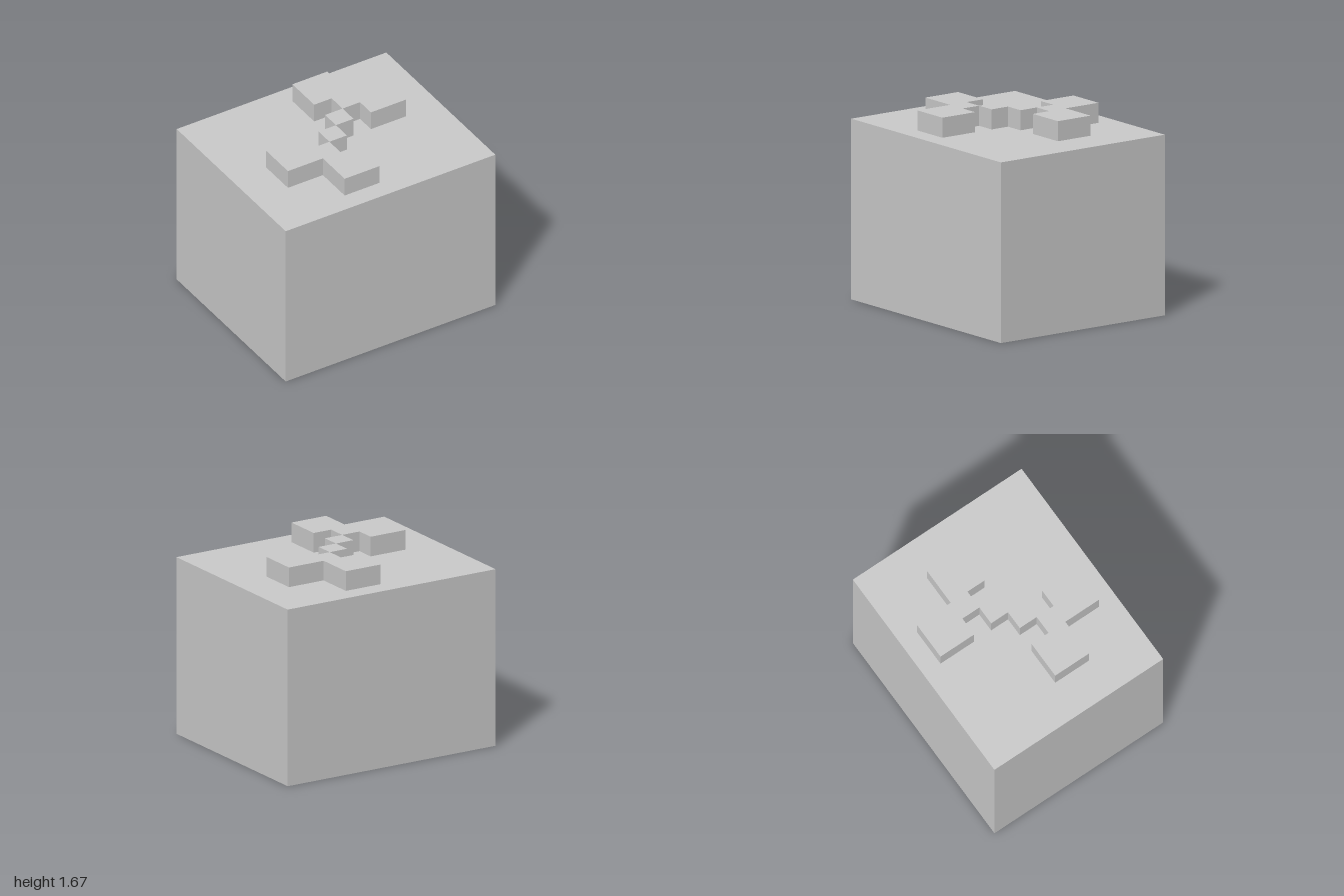
import * as THREE from 'three';

const U = 1 / 6; // modelling unit: every size is a whole number of these

export function createModel() {
  const model = new THREE.Group();
  model.name = 'blockWithRaisedPattern';
  const material = new THREE.MeshStandardMaterial({ color: 0xcccccc, flatShading: true });

  const add = (parent, name, geometry) => {
    const mesh = new THREE.Mesh(geometry, material);
    mesh.name = name;
    parent.add(mesh);
    return mesh;
  };

  // Main block
  const body = { width: 12 * U, height: 9 * U, depth: 10 * U };
  add(model, 'body', new THREE.BoxGeometry(body.width, body.height, body.depth))
    .position.y = body.height / 2;

  // Stepped plate outline, in units: x to the left side, y towards the back
  const outline = [[0, 4], [0, 2], [1, 2], [1, 1], [2, 1], [2, 0], [4, 0], [4, 2], [2, 2], [2, 4]];
  const shape = new THREE.Shape(outline.map(([x, y]) => new THREE.Vector2(x * U, y * U)));
  const plate = new THREE.ExtrudeGeometry(shape, { depth: U, bevelEnabled: false });
  plate.rotateX(-Math.PI / 2);

  // Small cube in the inner corner of the plate
  const cube = new THREE.BoxGeometry(U, U, U).translate(U / 2, U / 2, -U / 2);

  // The raised pattern repeats with a half turn about the centre
  ['back', 'front'].forEach((side, i) => {
    const half = new THREE.Group();
    half.name = `${side}Pattern`;
    add(half, `${side}SteppedPlate`, plate);
    add(half, `${side}CentreCube`, cube);
    half.position.y = body.height;
    half.rotation.y = i * Math.PI;
    model.add(half);
  });

  return model;
}
